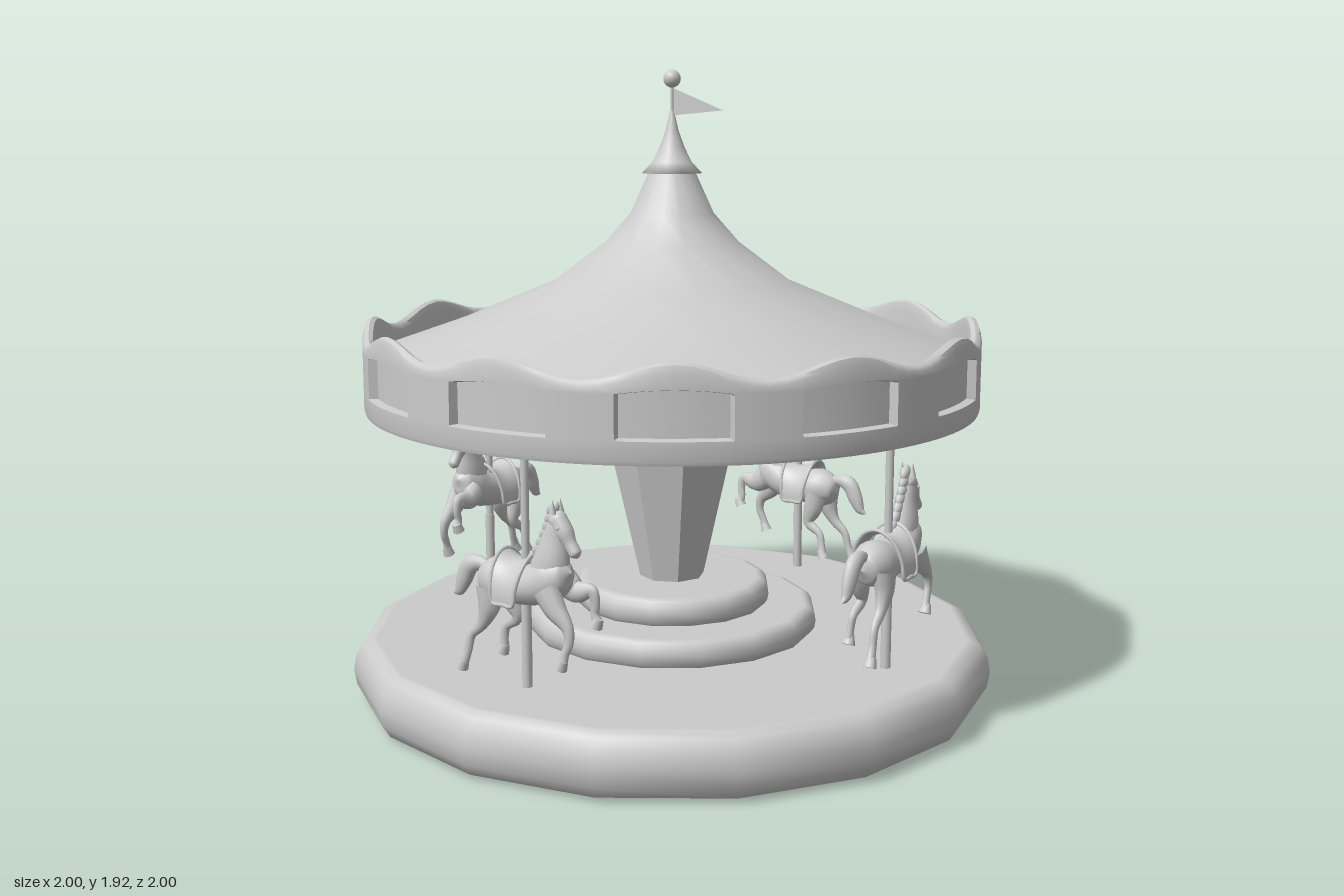
import * as THREE from 'three';
import { toCreasedNormals } from 'three/addons/utils/BufferGeometryUtils.js';

const grey = new THREE.MeshStandardMaterial({ color: 0xcccccc });
const thin = new THREE.MeshStandardMaterial({ color: 0xcccccc, side: THREE.DoubleSide });
const V = (x, y, z = 0) => new THREE.Vector3(x, y, z);

function add(parent, name, geometry, material = grey) {
  const mesh = new THREE.Mesh(geometry, material);
  mesh.name = name;
  parent.add(mesh);
  return mesh;
}

// Surface of nu x nv cells from point(i, j); wrapU joins the last column to the first
function grid(nu, nv, wrapU, point) {
  const cols = wrapU ? nu : nu + 1, pos = [], idx = [];
  for (let j = 0; j <= nv; j++)
    for (let i = 0; i < cols; i++) pos.push(...point(i, j).toArray());
  for (let j = 0; j < nv; j++)
    for (let i = 0; i < nu; i++) {
      const a = j * cols + i, b = j * cols + (i + 1) % cols;
      idx.push(a, b, a + cols, b, b + cols, a + cols);
    }
  const g = new THREE.BufferGeometry();
  g.setAttribute('position', new THREE.Float32BufferAttribute(pos, 3));
  g.setIndex(idx);
  g.computeVertexNormals();
  return g;
}

// Smooth limb through stations [x, y, z, radius in plane, radius across]
function loft(stations, sides = 12, steps = 4) {
  const path = new THREE.CatmullRomCurve3(stations.map(s => V(s[0], s[1], s[2])));
  const size = new THREE.CatmullRomCurve3(stations.map(s => V(s[3], s[4])));
  const nv = (stations.length - 1) * steps;
  return grid(sides, nv, true, (i, j) => {
    const c = path.getPoint(j / nv), r = size.getPoint(j / nv), t = path.getTangent(j / nv);
    const n = V(-t.y, t.x).normalize(), a = i / sides * Math.PI * 2;
    return c.addScaledVector(n, Math.max(r.x, 0.001) * Math.cos(a))
      .add(V(0, 0, Math.max(r.y, 0.001) * Math.sin(a)));
  });
}

function lathe(points, sides, flat = false) {
  const g = new THREE.LatheGeometry(points.map(p => new THREE.Vector2(...p)), sides);
  return flat ? toCreasedNormals(g, 0.05) : g;
}

// Rounded disc for the platform and steps
function disc(r, y0, y1, bevel) {
  const h = y1 - y0, p = [[0, y0], [r - bevel - 0.01, y0], [r - bevel, y0]];
  for (let k = 1; k < 6; k++) {
    const a = -Math.PI / 2 + k * Math.PI / 6;
    p.push([r - bevel + bevel * Math.cos(a), y0 + h / 2 + h / 2 * Math.sin(a)]);
  }
  p.push([r - bevel, y1], [r - bevel - 0.01, y1], [0, y1]);
  return lathe(p, 16);
}

// Wavy fascia ring with twelve recessed windows
function fascia() {
  const offsets = [-15, -12, -9.4, -9, -6, -3, 0, 3, 6, 9, 9.4, 12];
  // [radius, height, in window, arch amount, wave amount]
  const rows = [
    [0.905, 0.91, 0, 0, 0], [0.925, 0.9, 0, 0, 0], [0.94, 0.903, 0, 0, 0], [0.944, 0.915, 0, 0, 0],
    [0.944, 0.967, 0, 0, 0], [0.944, 0.971, 1, 0, 0], [0.944, 1.03, 1, 0, 0],
    [0.944, 1.084, 1, 1, 0], [0.944, 1.089, 0, 1, 0], [0.944, 1.125, 0, 0, 0.8],
    [0.938, 1.14, 0, 0, 1], [0.925, 1.146, 0, 0, 1], [0.912, 1.14, 0, 0, 1],
    [0.905, 1.12, 0, 0, 0.8], [0.905, 1.0, 0, 0, 0], [0.905, 0.91, 0, 0, 0]];
  const g = grid(144, rows.length - 1, true, (i, j) => {
    const off = offsets[i % 12], a = (Math.floor(i / 12) * 30 + 5 + off) * Math.PI / 180;
    const [r0, y0, win, arch, wave] = rows[j];
    const r = win && Math.abs(off) <= 9 ? 0.918 : r0;
    const y = y0 + arch * 0.012 * Math.max(0, 1 - (off / 9.4) ** 2)
      + wave * 0.025 * Math.cos(off * Math.PI / 15);
    return V(r * Math.sin(a), y, r * Math.cos(a));
  });
  return toCreasedNormals(g, 0.75);
}

// Galloping horse, heading +x
function buildHorse() {
  const horse = new THREE.Group();
  add(horse, 'body', loft([
    [-0.16, 0.48, 0, 0.004, 0.004], [-0.145, 0.483, 0, 0.045, 0.04], [-0.09, 0.49, 0, 0.067, 0.062],
    [-0.02, 0.487, 0, 0.056, 0.06], [0.05, 0.5, 0, 0.06, 0.06], [0.1, 0.525, 0, 0.062, 0.054],
    [0.14, 0.545, 0, 0.042, 0.038], [0.16, 0.55, 0, 0.004, 0.004]], 18));
  add(horse, 'neck', loft([
    [0.075, 0.51, 0, 0.065, 0.045], [0.095, 0.575, 0, 0.056, 0.042], [0.108, 0.64, 0, 0.04, 0.029],
    [0.122, 0.69, 0, 0.028, 0.022], [0.125, 0.715, 0, 0.003, 0.003]], 14));
  add(horse, 'head', loft([
    [0.1, 0.715, 0, 0.003, 0.003], [0.113, 0.698, 0, 0.028, 0.025], [0.138, 0.663, 0, 0.028, 0.026],
    [0.16, 0.63, 0, 0.019, 0.018], [0.178, 0.605, 0, 0.018, 0.018], [0.186, 0.594, 0, 0.003, 0.003]], 14));
  for (const s of [-1, 1]) {
    const ear = add(horse, 'ear', new THREE.ConeGeometry(0.011, 0.04, 8));
    ear.position.set(0.113, 0.73, 0.017 * s);
    const eye = add(horse, 'eye', new THREE.SphereGeometry(0.006, 8, 6));
    eye.position.set(0.135, 0.675, 0.024 * s);
  }
  // Mane locks down the back of the neck
  for (let k = 0; k < 7; k++) {
    const t = k / 6, lock = add(horse, 'maneLock', new THREE.SphereGeometry(1, 10, 8));
    lock.scale.set(0.017, 0.026, 0.014);
    lock.position.set(0.1 - 0.07 * t * (0.55 + 0.45 * t), 0.72 - 0.145 * t, 0);
    lock.rotation.z = -0.7;
  }
  add(horse, 'tail', loft([
    [-0.13, 0.515, 0, 0.012, 0.012], [-0.165, 0.525, 0, 0.02, 0.016], [-0.205, 0.515, 0, 0.028, 0.022],
    [-0.23, 0.47, 0, 0.026, 0.02], [-0.25, 0.43, 0, 0.016, 0.013], [-0.272, 0.418, 0, 0.002, 0.002]]));

  // Legs as joint lists: top, thigh, knee, shin, fetlock, hoof
  const radii = [0.042, 0.034, 0.019, 0.014, 0.013, 0.017];
  const legs = {
    leftFrontLeg: [0.036, [0.1, 0.5], [0.135, 0.45], [0.178, 0.405], [0.185, 0.365], [0.172, 0.33], [0.163, 0.3]],
    rightFrontLeg: [-0.036, [0.11, 0.51], [0.15, 0.485], [0.2, 0.495], [0.212, 0.46], [0.208, 0.43], [0.215, 0.405]],
    leftHindLeg: [0.04, [-0.1, 0.48], [-0.1, 0.42], [-0.125, 0.365], [-0.165, 0.325], [-0.178, 0.275], [-0.195, 0.235]],
    rightHindLeg: [-0.04, [-0.1, 0.48], [-0.085, 0.42], [-0.07, 0.37], [-0.115, 0.335], [-0.125, 0.3], [-0.13, 0.265]]
  };
  for (const [name, [z, ...joints]] of Object.entries(legs)) {
    add(horse, name, loft(joints.map(([x, y], k) => [x, y, z * (1 + k * 0.06), radii[k], radii[k] * 0.8]), 10));
    const [x, y] = joints[5];
    const hoof = add(horse, name + 'Hoof', new THREE.CylinderGeometry(0.014, 0.02, 0.028, 10));
    hoof.position.set(x, y, z * 1.3);
    hoof.rotation.z = -0.4;
  }

  // Saddle draped over the back, with a raised rim
  const drape = (t, s) => {
    const a = t * 1.75;
    return V(-0.02 + s * 0.055 * (1 - 0.35 * t * t),
      0.49 + 0.072 * Math.cos(a) - 0.03 * t * t + 0.022 * s * s * (1 - t * t) ** 2,
      0.075 * Math.sin(a) + 0.008 * t);
  };
  add(horse, 'saddle', grid(20, 8, false, (i, j) => drape(i / 10 - 1, j / 4 - 1)), thin);
  const edge = [];
  for (let k = 0; k < 8; k++) edge.push(drape(k / 4 - 1, -1));
  for (let k = 0; k < 2; k++) edge.push(drape(1, k - 1));
  for (let k = 0; k < 8; k++) edge.push(drape(1 - k / 4, 1));
  for (let k = 0; k < 2; k++) edge.push(drape(-1, 1 - k));
  add(horse, 'saddleRim', new THREE.TubeGeometry(new THREE.CatmullRomCurve3(edge, true), 60, 0.006, 6, true));
  return horse;
}

export function createModel() {
  const model = new THREE.Group();
  model.name = 'carousel';

  // Platform and steps
  add(model, 'platform', disc(1, 0, 0.19, 0.06));
  add(model, 'lowerStep', disc(0.46, 0.18, 0.27, 0.03));
  add(model, 'upperStep', disc(0.31, 0.26, 0.35, 0.03));

  // Faceted centre column flaring into the ceiling
  add(model, 'column', lathe([[0.1, 0.34], [0.19, 0.74], [0.39, 0.82], [0.56, 1.08]], 8, true));
  add(model, 'ceiling', lathe([[0.5, 1.07], [0.91, 1.06]], 32), thin);

  // Canopy
  add(model, 'fascia', fascia());
  add(model, 'roof', lathe([[0.91, 1.07], [0.67, 1.155], [0.37, 1.28], [0.21, 1.4],
    [0.13, 1.49], [0.07, 1.62]], 16), thin);
  add(model, 'cap', lathe([[0.05, 1.615], [0.092, 1.612], [0.06, 1.645], [0.038, 1.69],
    [0.02, 1.74], [0.006, 1.8]], 20), thin);

  // Flagpole, ball and pennant
  const mast = add(model, 'flagpole', new THREE.CylinderGeometry(0.005, 0.005, 0.12, 8));
  mast.position.y = 1.83;
  const ball = add(model, 'ball', new THREE.SphereGeometry(0.027, 16, 12));
  ball.position.y = 1.895;
  const pennant = new THREE.Shape([[0, 1.785], [0.185, 1.8], [0, 1.868]].map(p => new THREE.Vector2(...p)));
  add(model, 'pennant', new THREE.ShapeGeometry(pennant), thin);

  // Four horses on poles, the side pair raised
  const distances = [0.72, 0.76, 0.79, 0.76];
  distances.forEach((d, k) => {
    const ride = new THREE.Group();
    ride.name = 'ride';
    const horse = buildHorse();
    horse.name = 'horse';
    horse.position.set(0, k % 2 ? 0.035 : 0, d);
    const upper = add(ride, 'pole', new THREE.CylinderGeometry(0.012, 0.012, 0.89, 10));
    upper.position.set(0, 0.635, d);
    const lower = add(ride, 'poleSleeve', new THREE.CylinderGeometry(0.015, 0.015, 0.25, 10));
    lower.position.set(0, 0.31, d);
    ride.add(horse);
    ride.rotation.y = k * Math.PI / 2;
    model.add(ride);
  });
  return model;
}
